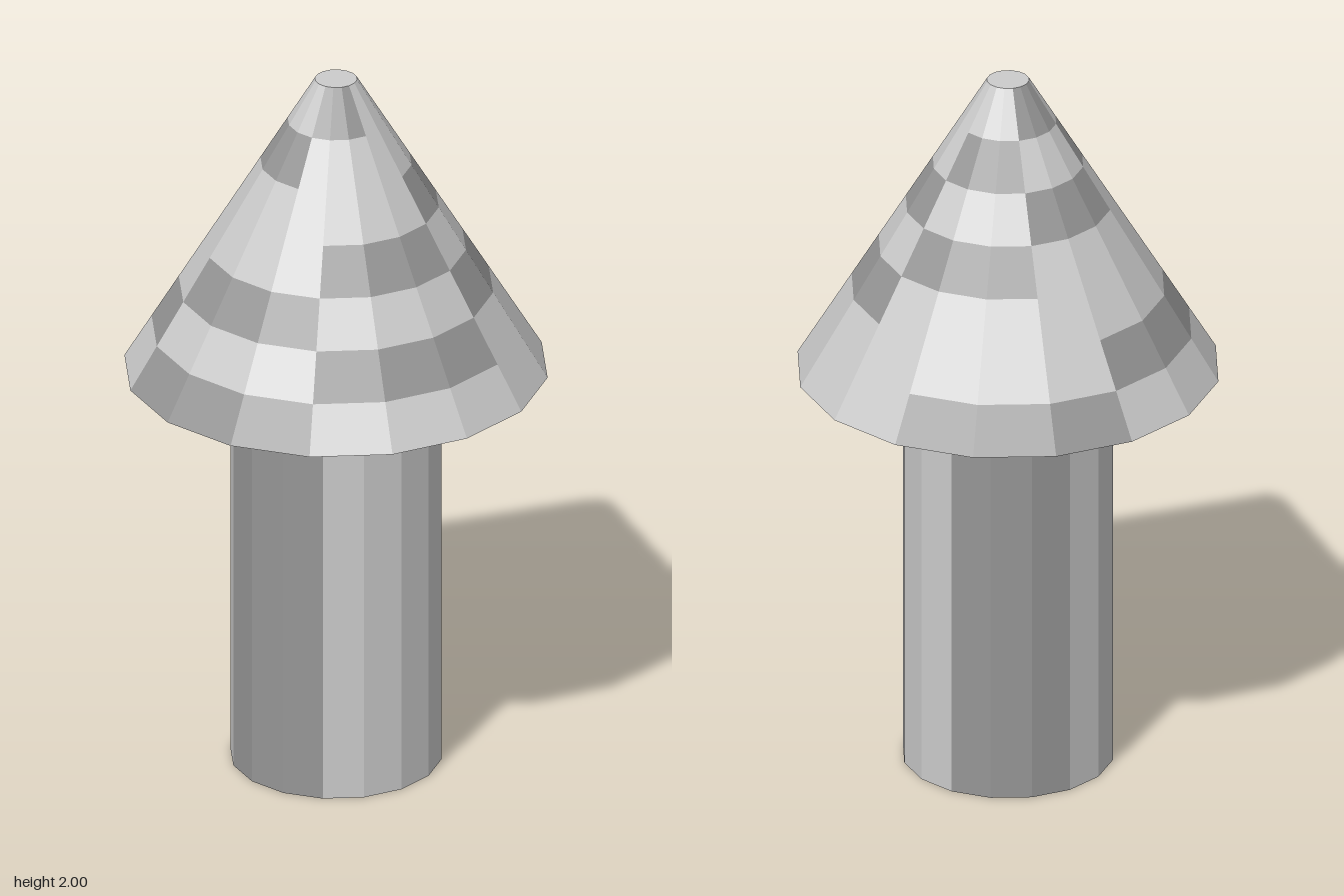
import * as THREE from 'three';
import { mergeGeometries } from 'three/addons/utils/BufferGeometryUtils.js';

const SIDES = 16;
const STEP = (Math.PI * 2) / SIDES;
const RINGS = 7;
const SHAFT_R = 0.285, BRIM_R = 0.571, TIP_R = 0.057;
const BRIM_Y = 1.147, TOP_Y = 2;

const light = new THREE.MeshStandardMaterial({ color: 0xcccccc, flatShading: true });
const dark = new THREE.MeshStandardMaterial({ color: 0x969696, flatShading: true });

// Faceted strip between two profile points, covering `count` sides from side `first`
function strip([r0, y0], [r1, y1], first, count) {
  const points = [new THREE.Vector2(r0, y0), new THREE.Vector2(r1, y1)];
  const g = new THREE.LatheGeometry(points, count, first * STEP, count * STEP).toNonIndexed();
  g.computeVertexNormals();
  return g;
}

// One ring split into two dark runs of three sides and the light runs between them
function stripedRing(p0, p1, shift, lights, darks) {
  darks.push(strip(p0, p1, 6 + shift, 3), strip(p0, p1, 12 + shift, 3));
  lights.push(strip(p0, p1, 9 + shift, 3), strip(p0, p1, 15 + shift, 7));
}

function addPart(group, name, lights, darks = []) {
  const part = new THREE.Group();
  part.name = name;
  for (const [list, material, suffix] of [[lights, light, 'Light'], [darks, dark, 'Dark']]) {
    if (!list.length) continue;
    const mesh = new THREE.Mesh(mergeGeometries(list), material);
    mesh.name = name + suffix;
    part.add(mesh);
  }
  group.add(part);
}

export function createModel() {
  const group = new THREE.Group();
  group.name = 'stripedConePost';

  // Shaft with vertical stripes
  let lights = [], darks = [];
  stripedRing([SHAFT_R, 0], [SHAFT_R, BRIM_Y], 0, lights, darks);
  addPart(group, 'shaft', lights, darks);
  addPart(group, 'shaftBottom', [strip([0, 0], [SHAFT_R, 0], 0, SIDES)]);

  // Underside of the cone
  lights = []; darks = [];
  stripedRing([SHAFT_R, BRIM_Y], [BRIM_R, BRIM_Y], 0, lights, darks);
  addPart(group, 'coneUnderside', lights, darks);

  // Cone with two stripes that wind upwards, three sides per ring
  lights = []; darks = [];
  const at = (i) => [
    THREE.MathUtils.lerp(BRIM_R, TIP_R, i / RINGS),
    THREE.MathUtils.lerp(BRIM_Y, TOP_Y, i / RINGS),
  ];
  for (let i = 0; i < RINGS; i++) stripedRing(at(i), at(i + 1), 3 * i, lights, darks);
  addPart(group, 'cone', lights, darks);
  addPart(group, 'coneTip', [strip([TIP_R, TOP_Y], [0, TOP_Y], 0, SIDES)]);

  return group;
}
